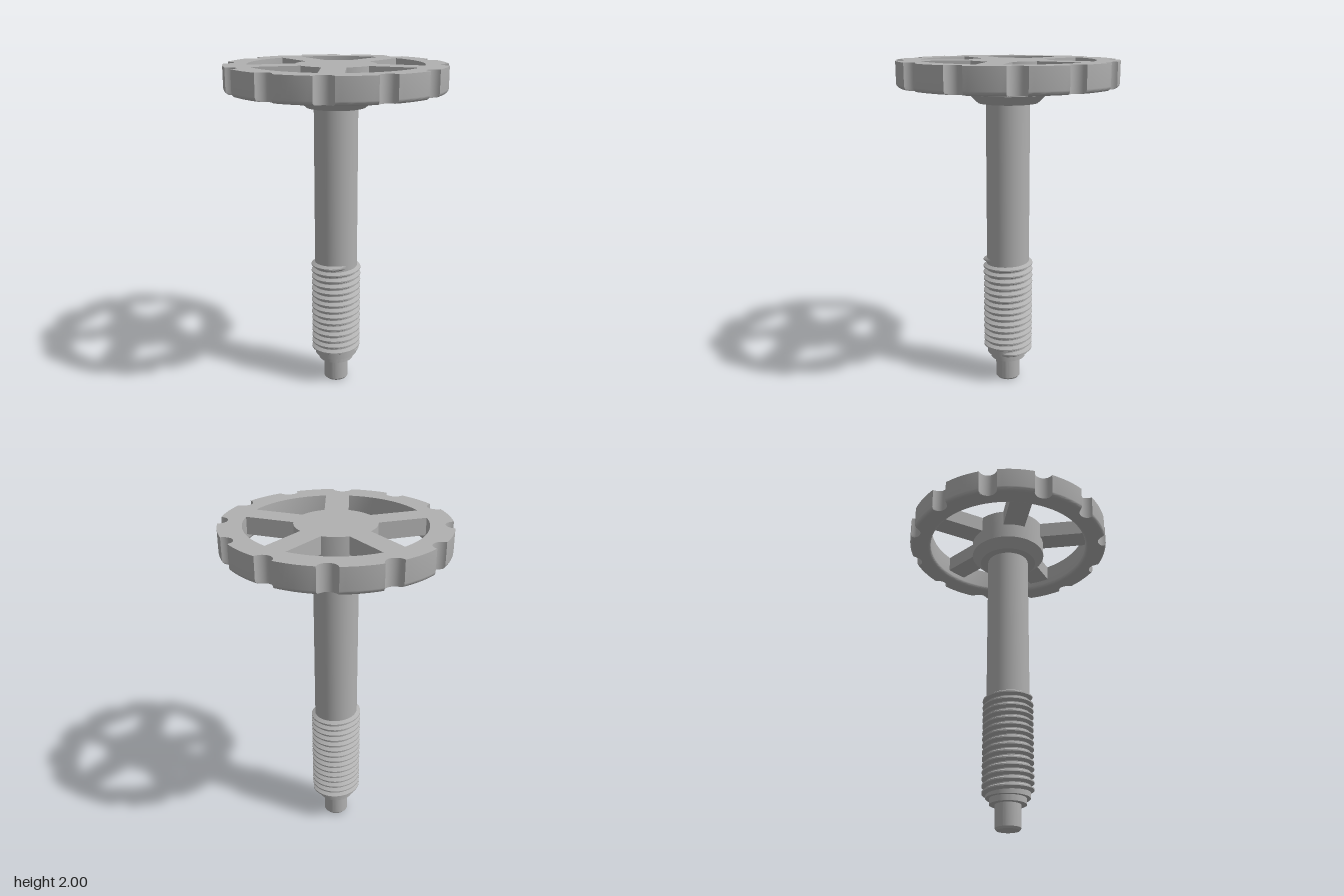
import * as THREE from 'three';
import { toCreasedNormals } from 'three/addons/utils/BufferGeometryUtils.js';

const TAU = Math.PI * 2;
const rad = THREE.MathUtils.degToRad;

// point at radius r, height y, angle t (counter-clockwise seen from above)
const polar = (r, y, t) => [r * Math.cos(t), y, -r * Math.sin(t)];

// skin a series of cross-sections
function loft(sections, closedSection, crease) {
  const pos = [];
  for (let i = 0; i < sections.length - 1; i++) {
    const p = sections[i], q = sections[i + 1], n = p.length;
    for (let j = 0; j < (closedSection ? n : n - 1); j++) {
      const k = (j + 1) % n;
      pos.push(...p[j], ...q[j], ...q[k], ...p[j], ...q[k], ...p[k]);
    }
  }
  const g = new THREE.BufferGeometry();
  g.setAttribute('position', new THREE.Float32BufferAttribute(pos, 3));
  return toCreasedNormals(g, crease);
}

function lathe(points) {
  const g = new THREE.LatheGeometry(points.map(([r, y]) => new THREE.Vector2(r, y)), 64);
  return toCreasedNormals(g, 0.5);
}

// hand wheel rim: filleted underside, twelve round finger notches
function rimGeometry() {
  const R = 0.645, inner = 0.51, bottom = 1.85, top = 2, f = 0.025;
  const c = 0.65, a = 0.056, count = 12, step = TAU / count;
  const half = Math.acos((R * R + c * c - a * a) / (2 * R * c));
  const profile = [];
  for (let i = 0; i <= 5; i++) {
    const s = (i / 5) * Math.PI / 2;
    profile.push([R - f + f * Math.sin(s), bottom + f - f * Math.cos(s)]);
  }
  profile.push([R, top], [inner, top]);
  for (let i = 0; i <= 5; i++) {
    const s = (i / 5) * Math.PI / 2;
    profile.push([inner + f - f * Math.cos(s), bottom + f - f * Math.sin(s)]);
  }
  const sections = [];
  const add = (t, limit) =>
    sections.push(profile.map(([r, y]) => polar(Math.min(r, limit), y, t)));
  for (let n = 0; n < count; n++) {
    const mid = rad(-5) + n * step;
    for (let i = 0; i <= 14; i++) {
      const d = half * Math.sin((i / 14 - 0.5) * Math.PI);
      add(mid + d, c * Math.cos(d) - Math.sqrt(a * a - (c * Math.sin(d)) ** 2));
    }
    for (let i = 1; i < 8; i++) add(mid + half + (step - 2 * half) * i / 8, R);
  }
  sections.push(sections[0]);
  return loft(sections, true, 0.6);
}

// right-hand screw ridge, fading out at both ends
function threadGeometry() {
  const y0 = 0.198, y1 = 0.795, pitch = 0.04, perTurn = 40, root = 0.128, crest = 0.152;
  const turns = (y1 - y0) / pitch, n = Math.round(turns * perTurn);
  const sections = [];
  for (let i = 0; i <= n; i++) {
    const t = (i / n) * turns * TAU, y = y0 + (i / n) * (y1 - y0);
    const fade = Math.min(1, i / 5, (n - i) / 5);
    const r = root + (crest - root) * fade;
    sections.push([
      polar(root, y - 0.018, t), polar(r, y - 0.004, t),
      polar(r, y + 0.004, t), polar(root, y + 0.018, t),
    ]);
  }
  return loft(sections, false, 0.4);
}

export function createModel() {
  const steel = new THREE.MeshStandardMaterial({ color: 0xb0b0b0 });
  steel.name = 'grey steel';
  const model = new THREE.Group();
  model.name = 'handWheelScrew';
  const add = (name, geometry, parent = model) => {
    const m = new THREE.Mesh(geometry, steel);
    m.name = name;
    parent.add(m);
    return m;
  };

  // wheel
  const wheel = new THREE.Group();
  wheel.name = 'handWheel';
  model.add(wheel);
  add('rim', rimGeometry(), wheel);
  add('hub', lathe([[0, 1.755], [0.177, 1.755], [0.233, 1.808], [0.233, 2], [0, 2]]), wheel);
  for (let i = 0; i < 5; i++) {
    const t = rad(81.6) + i * TAU / 5;
    const spoke = add('spoke', new THREE.BoxGeometry(0.32, 0.1, 0.138), wheel);
    spoke.position.set(...polar(0.36, 1.95, t));
    spoke.rotation.y = t;
  }

  // spindle
  add('shaft', lathe([[0, 0.18], [0.13, 0.18], [0.13, 1.76], [0, 1.76]]));
  add('thread', threadGeometry());
  add('collar', lathe([[0, 0.145], [0.108, 0.145], [0.108, 0.19], [0, 0.19]]));
  add('tip', lathe([[0, 0], [0.066, 0], [0.076, 0.012], [0.076, 0.15], [0, 0.15]]));
  return model;
}
